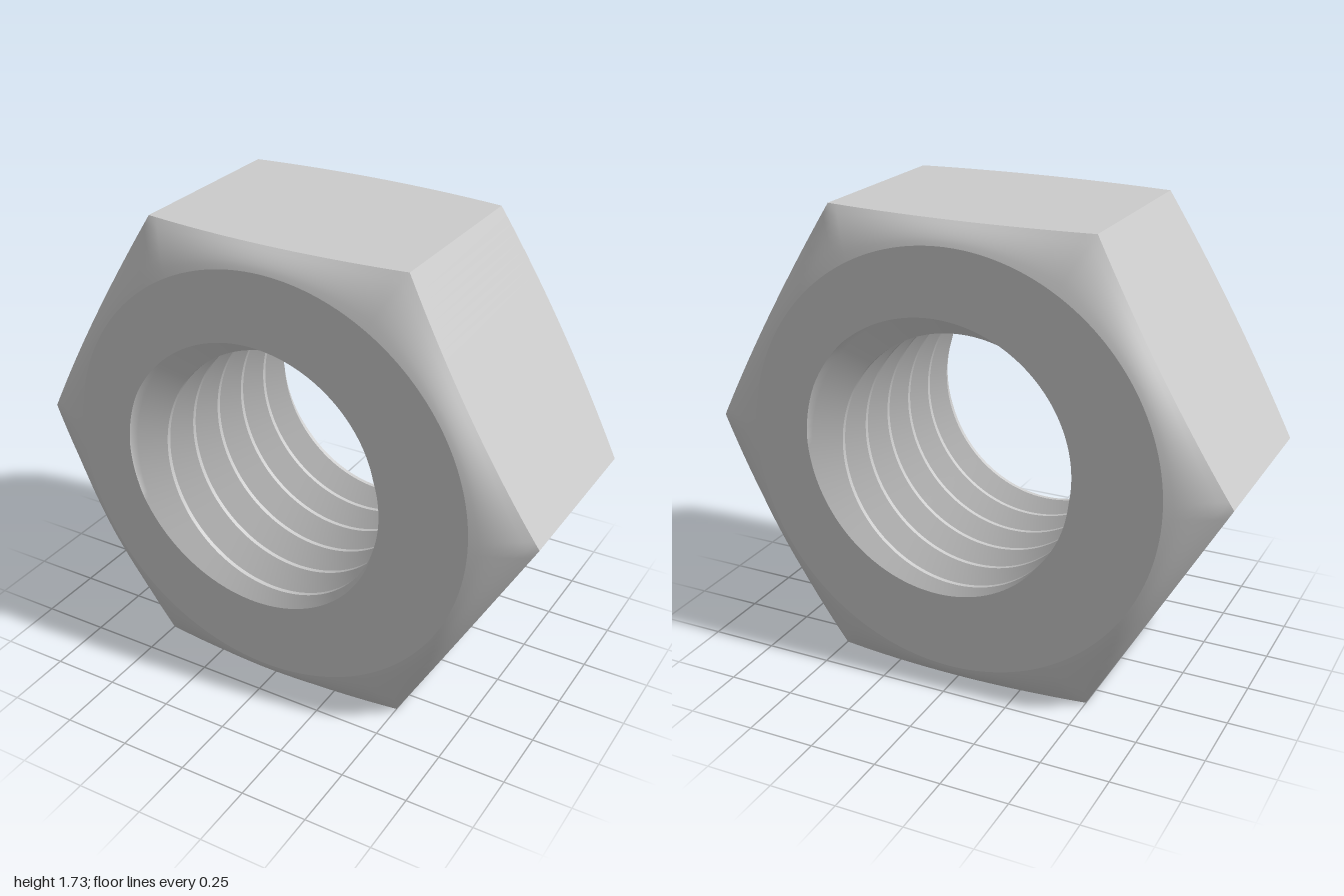
import * as THREE from 'three';
import { toCreasedNormals } from 'three/addons/utils/BufferGeometryUtils.js';

const N = 192;            // columns around the axis (multiple of 6)
const HALF = 0.443;       // half thickness
const FLAT = Math.sqrt(3) / 2; // centre to flat
const FACE_R = 0.79;      // outer radius of the bearing faces
const PITCH = 0.163;
// thread profile over one pitch: [fraction, radius], rounded root and flat crest
const PROFILE = [[0, 0.577], [0.06, 0.572], [0.12, 0.555], [0.45, 0.46],
  [0.55, 0.46], [0.88, 0.555], [0.94, 0.572], [1, 0.577]];

// right-handed internal thread radius at an angle and height
function boreRadius(a, z) {
  const u = (z - HALF) / PITCH - (a - Math.PI) / (2 * Math.PI);
  const t = u - Math.floor(u);
  const i = Math.max(1, PROFILE.findIndex(p => p[0] >= t));
  const [t0, r0] = PROFILE[i - 1], [t1, r1] = PROFILE[i];
  return r0 + (r1 - r0) * (t - t0) / (t1 - t0);
}

// hexagon outline: radius and height of the chamfer edge at an angle
function hexEdge(a) {
  const step = Math.PI / 3;
  const d = ((a % step) + step) % step - step / 2;
  const s = FLAT * Math.tan(d) / 0.5;
  return { r: FLAT / Math.cos(d), z: 0.38 - 0.035 * s * s };
}

// surface of columns around z; point(angle, row) returns [radius, z]
function surface(name, rows, point, crease) {
  const pos = [];
  const at = (i, j) => {
    const a = i / N * 2 * Math.PI;
    const [r, z] = point(a, j);
    return new THREE.Vector3(r * Math.cos(a), r * Math.sin(a), z);
  };
  const tri = (a, b, c) => {
    const area = b.clone().sub(a).cross(c.clone().sub(a)).length();
    if (area > 1e-9) pos.push(...a.toArray(), ...b.toArray(), ...c.toArray());
  };
  for (let i = 0; i < N; i++) {
    for (let j = 0; j < rows; j++) {
      const a = at(i, j), b = at(i + 1, j), c = at(i + 1, j + 1), d = at(i, j + 1);
      tri(a, b, d);
      tri(b, c, d);
    }
  }
  const geo = new THREE.BufferGeometry();
  geo.setAttribute('position', new THREE.Float32BufferAttribute(pos, 3));
  const mesh = new THREE.Mesh(toCreasedNormals(geo, crease),
    new THREE.MeshStandardMaterial({ color: 0xcccccc }));
  mesh.name = name;
  return mesh;
}

export function createModel() {
  const nut = new THREE.Group();
  nut.name = 'hexNut';

  // six wrench flats
  nut.add(surface('hexFlats', 1, (a, j) => {
    const e = hexEdge(a);
    return [e.r, j ? e.z : -e.z];
  }, 0.5));

  for (const side of [1, -1]) {
    const label = side > 0 ? 'front' : 'back';
    // slightly domed chamfer from the hexagon edge to the round face
    const steps = 6;
    nut.add(surface(label + 'Chamfer', steps, (a, j) => {
      const t = side > 0 ? j / steps : 1 - j / steps;
      const e = hexEdge(a);
      return [e.r + (FACE_R - e.r) * t,
        side * (e.z + (HALF - e.z) * t + 0.04 * t * (1 - t))];
    }, 0.9));
    // flat bearing face, its inner edge following the thread
    nut.add(surface(label + 'Face', 1, (a, j) => {
      const inner = (j === 1) === (side > 0);
      return [inner ? boreRadius(a, side * HALF) : FACE_R, side * HALF];
    }, 0.5));
  }

  // helical thread, trimmed at both faces
  const turns = [];
  for (let k = 0; k >= -6; k--) {
    for (let i = PROFILE.length - 1; i > 0; i--) turns.push(k + PROFILE[i][0]);
  }
  turns.push(-6);
  nut.add(surface('thread', turns.length - 1, (a, j) => {
    const z = HALF + PITCH * (turns[j] + (a - Math.PI) / (2 * Math.PI));
    const zc = THREE.MathUtils.clamp(z, -HALF, HALF);
    return [boreRadius(a, zc), zc];
  }, 0.6));

  nut.position.y = FLAT;
  const model = new THREE.Group();
  model.name = 'nut';
  model.add(nut);
  return model;
}
